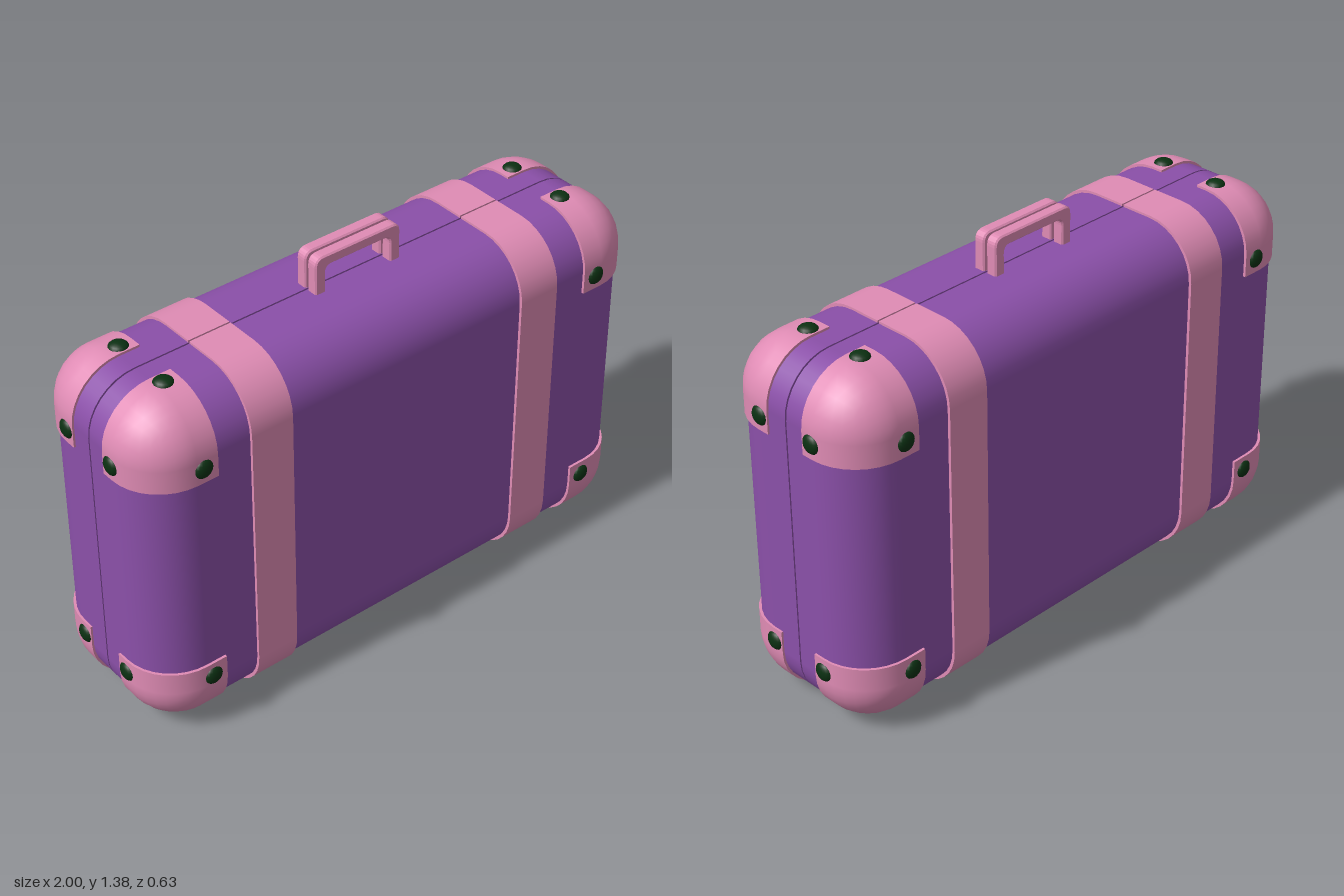
import * as THREE from 'three';

const ARC = 4; // segments per half corner
const MID = 0.636; // height of the case centre

// Block from lo to hi; round[axis] = [low side, high side] tells which sides get radius r.
function roundedBlock(lo, hi, r, round) {
  const nLo = round.map(s => (s[0] ? ARC : 0));
  const seg = round.map((s, k) => nLo[k] + 1 + (s[1] ? ARC : 0));
  const inLo = lo.map((v, k) => v + (round[k][0] ? r : 0));
  const inHi = hi.map((v, k) => v - (round[k][1] ? r : 0));
  const geo = new THREE.BoxGeometry(1, 1, 1, ...seg);
  const pos = geo.attributes.position, nor = geo.attributes.normal;
  const p = new THREE.Vector3(), n = new THREE.Vector3(), q = new THREE.Vector3(), d = new THREE.Vector3();
  for (let i = 0; i < pos.count; i++) {
    p.fromBufferAttribute(pos, i);
    n.fromBufferAttribute(nor, i);
    for (let k = 0; k < 3; k++) {
      const step = Math.round((p.getComponent(k) + 0.5) * seg[k]);
      const below = nLo[k] - step, above = step - nLo[k] - 1;
      q.setComponent(k, below >= 0 ? inLo[k] : inHi[k]);
      const off = below >= 0 ? -below : above;
      d.setComponent(k, r * Math.tan((Math.PI / 4) * (off / ARC)));
    }
    // Turn the cubic offset into a spherical one
    const reach = Math.max(Math.abs(d.x), Math.abs(d.y), Math.abs(d.z));
    if (reach > 0) d.setLength(reach);
    p.copy(q).add(d);
    pos.setXYZ(i, p.x, p.y, p.z);
    const axis = [0, 1, 2].find(k => Math.abs(n.getComponent(k)) > 0.5);
    if (round[axis][n.getComponent(axis) > 0 ? 1 : 0]) {
      d.normalize();
      nor.setXYZ(i, d.x, d.y, d.z);
    }
  }
  return geo;
}

// Range and rounded side for one axis, mirrored by sign s
const span = (s, a, b) => (s > 0 ? [a, b] : [-b, -a]);
const outer = s => [s < 0, s > 0];

export function createModel() {
  const group = new THREE.Group();
  const mat = (name, color) => {
    const m = new THREE.MeshStandardMaterial({ color });
    m.name = name;
    return m;
  };
  const purple = mat('purple shell', 0x8b50a9);
  const pink = mat('pink trim', 0xe08cb5);
  const green = mat('dark green rivet', 0x0b3012);

  const add = (name, geo, material) => {
    const mesh = new THREE.Mesh(geo, material);
    mesh.name = name;
    group.add(mesh);
    return mesh;
  };
  const block = (name, x, y, z, r, round, material) =>
    add(name, roundedBlock([x[0], y[0] + MID, z[0]], [x[1], y[1] + MID, z[1]], r, round), material);

  const both = [true, true], none = [false, false];

  // Core that closes the bottom of the seam
  block('seamCore', [-0.972, 0.972], [-0.605, 0.605], [-0.02, 0.02], 0.17, [none, none, none].map(() => none), purple)
    .geometry.dispose();
  group.remove(group.children[0]);
  const rim = new THREE.Shape();
  const w = 0.972, h = 0.605, c = 0.17;
  rim.absarc(w - c, h - c, c, 0, Math.PI / 2);
  rim.absarc(c - w, h - c, c, Math.PI / 2, Math.PI);
  rim.absarc(c - w, c - h, c, Math.PI, Math.PI * 1.5);
  rim.absarc(w - c, c - h, c, Math.PI * 1.5, Math.PI * 2);
  const core = new THREE.ExtrudeGeometry(rim, { depth: 0.04, bevelEnabled: false, curveSegments: 8 });
  add('seamCore', core.translate(0, MID, -0.02), purple);

  // Handle outline, an upside-down U
  const u = new THREE.Shape();
  u.moveTo(-0.162, 1.235);
  u.lineTo(-0.162, 1.345);
  u.quadraticCurveTo(-0.162, 1.373, -0.134, 1.373);
  u.lineTo(0.134, 1.373);
  u.quadraticCurveTo(0.162, 1.373, 0.162, 1.345);
  u.lineTo(0.162, 1.235);
  u.lineTo(0.132, 1.235);
  u.lineTo(0.132, 1.315);
  u.quadraticCurveTo(0.132, 1.345, 0.102, 1.345);
  u.lineTo(-0.102, 1.345);
  u.quadraticCurveTo(-0.132, 1.345, -0.132, 1.315);
  u.lineTo(-0.132, 1.235);
  u.closePath();
  const handleGeo = new THREE.ExtrudeGeometry(u, {
    depth: 0.031, bevelThickness: 0.005, bevelSize: 0.005, bevelSegments: 1, curveSegments: 6,
  }).translate(0, 0, -0.0155);

  // Domed rivet, flattened along the axis it sits on
  const rivetGeo = new THREE.SphereGeometry(0.033, 16, 10);
  const rivet = (x, y, z, axis) => {
    const m = add('rivet', rivetGeo, green);
    m.position.set(x, y + MID, z);
    m.scale.setComponent(axis, 0.55);
  };

  for (const sz of [-1, 1]) {
    // Shell half and handle half
    block('shellHalf', [-0.98, 0.98], [-0.613, 0.613], span(sz, 0.003, 0.29), 0.175, [both, both, outer(sz)], purple);
    add('handle', handleGeo, pink).position.z = sz * 0.0255;

    for (const sx of [-1, 1]) {
      block('strap', span(sx, 0.458, 0.61), [-0.621, 0.621], span(sz, 0.003, 0.3), 0.18,
        [none, both, outer(sz)], pink);

      // Corner guards with three rivets each
      for (const sy of [-1, 1]) {
        block('cornerGuard', span(sx, 0.733, 0.987), span(sy, 0.361, 0.621), span(sz, 0.077, 0.299), 0.18,
          [outer(sx), outer(sy), outer(sz)], pink);
        rivet(sx * 0.784, sy * 0.411, sz * 0.295, 2);
        rivet(sx * 0.982, sy * 0.411, sz * 0.113, 0);
        rivet(sx * 0.784, sy * 0.617, sz * 0.113, 1);
      }
    }
  }
  return group;
}
